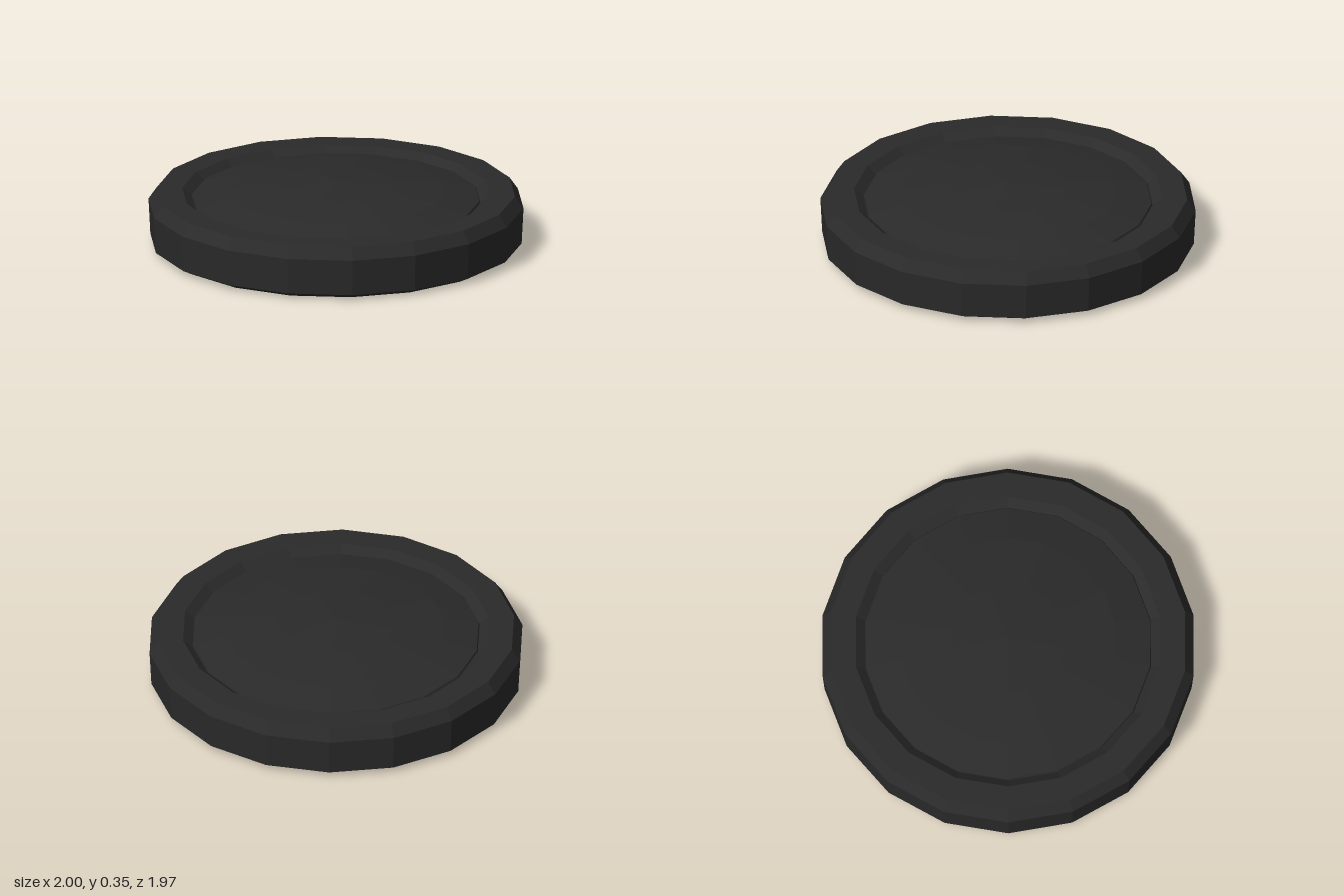
import * as THREE from 'three';

const SIDES = 18;

// Faceted solid of revolution with a corner on the x axis
function turned(name, profile, material) {
  const points = profile.map(([r, y]) => new THREE.Vector2(r, y));
  const mesh = new THREE.Mesh(new THREE.LatheGeometry(points, SIDES, Math.PI / 2), material);
  mesh.name = name;
  return mesh;
}

export function createModel() {
  const group = new THREE.Group();
  group.name = 'domedDisc';
  const material = new THREE.MeshStandardMaterial({ color: 0x2a2a2a, flatShading: true });

  // Bevelled body with a raised rim sloping down to the recess
  group.add(turned('body', [
    [0, 0], [0.93, 0], [0.99, 0.03], [1, 0.225], [0.955, 0.29], [0.82, 0.29], [0.77, 0.25],
  ], material));

  // Shallow dome filling the recess
  group.add(turned('dome', [
    [0.77, 0.25], [0.765, 0.26], [0.58, 0.3], [0.31, 0.332], [0, 0.352],
  ], material));

  return group;
}
